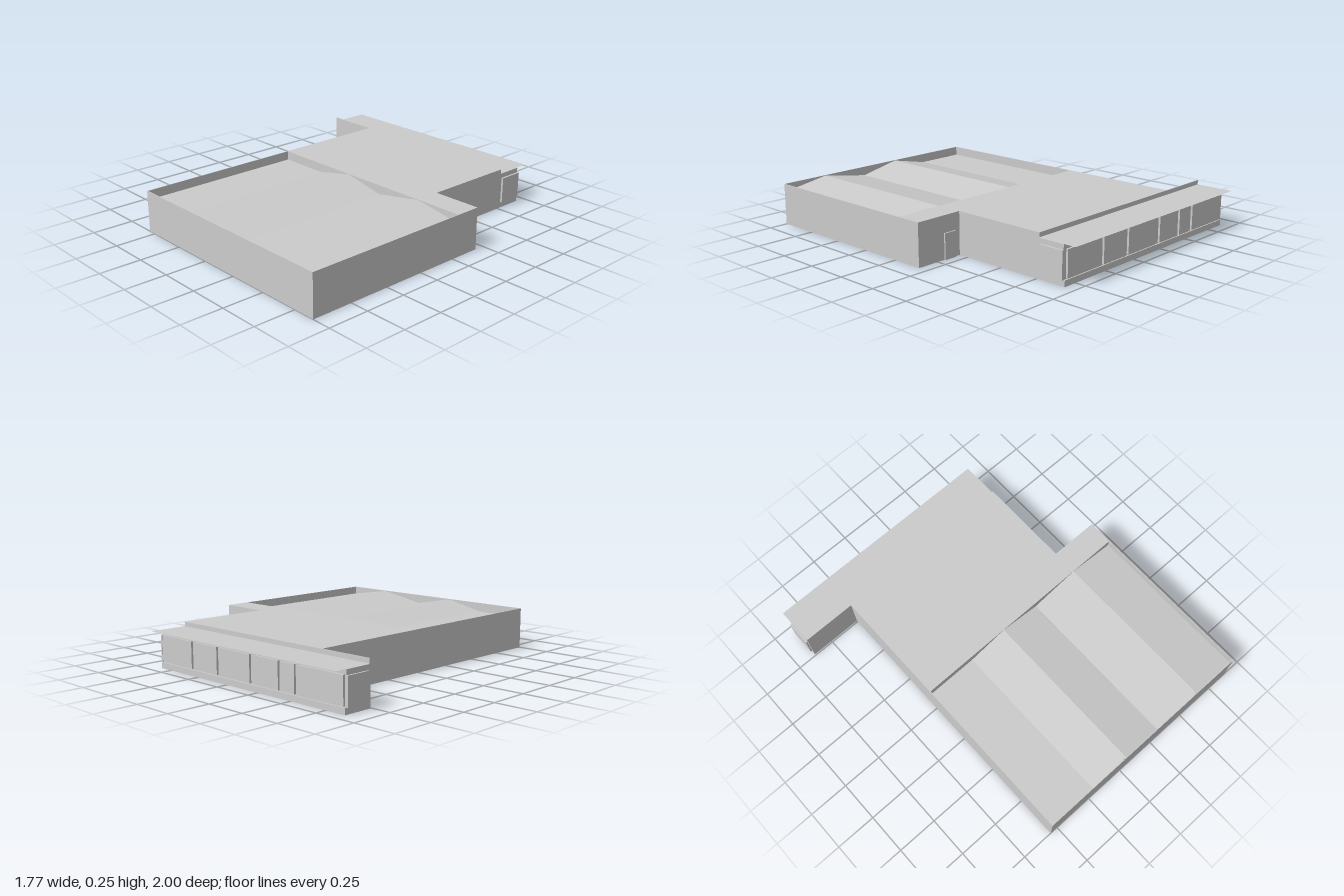
import * as THREE from 'three';

export function createModel() {
  const group = new THREE.Group();
  const mat = new THREE.MeshStandardMaterial({ color: 0xcccccc, flatShading: true, side: THREE.DoubleSide });
  const add = (name, geo) => {
    const mesh = new THREE.Mesh(geo, mat);
    mesh.name = name;
    group.add(mesh);
    return mesh;
  };
  // Box given by its limits on each axis
  const box = (name, x0, x1, y0, y1, z0, z1) =>
    add(name, new THREE.BoxGeometry(x1 - x0, y1 - y0, z1 - z0))
      .position.set((x0 + x1) / 2, (y0 + y1) / 2, (z0 + z1) / 2);
  const extrude = (points, depth) => new THREE.ExtrudeGeometry(
    new THREE.Shape(points.map(([x, y]) => new THREE.Vector2(x, y))), { depth, bevelEnabled: false });

  const H = 0.25, L = -0.55, R = 0.885, M = 0.585, mid = -0.035;

  // Flat-roofed middle block with a notch in its back corner
  const block = extrude([[L, -mid], [R, -mid], [R, 0.19], [M, 0.19], [M, 0.76], [L, 0.76]], H);
  add('middleBlock', block.rotateX(-Math.PI / 2));

  // Front hall with a folded roof sunk behind thin parapet walls
  const roof = [[R, 0.2], [M, 0.248], [0.28, 0.195], [0.02, 0.248], [-0.23, 0.195], [L, 0.195]];
  const hall = add('hallWithFoldedRoof', extrude([[L, 0], [R, 0], ...roof], 0.995 - mid));
  hall.position.z = mid;
  const t = 0.004;
  box('frontParapet', L, R, 0, H, 1 - t, 1);
  box('leftParapet', R - t, R, 0, H, mid, 1);
  box('rightParapet', L, L + t, 0, H, mid, 1);

  // Door in the notch wall
  box('notchDoor', 0.62, 0.7, 0, 0.15, -0.198, -0.19);

  // Back wing: tall front wall, glazed core, plinth and thin canopy
  box('wingFrontWall', -0.88, M, 0, H, -0.765, -0.758);
  box('wingCore', -0.88, M, 0.03, 0.222, -0.925, -0.765);
  box('wingPlinth', -0.88, M, 0, 0.035, -0.935, -0.765);
  const canopy = add('canopy', new THREE.PlaneGeometry(M + 0.88, 0.235).rotateX(-Math.PI / 2));
  canopy.position.set((M - 0.88) / 2, 0.224, -0.8825);

  // Window panels along the back and at both ends of the wing
  const windows = [[0.3, 0.565], [0.08, 0.27], [-0.19, 0.055], [-0.41, -0.235], [-0.53, -0.43], [-0.87, -0.56]];
  for (const [x0, x1] of windows) box('backWindow', x0, x1, 0.04, 0.195, -0.937, -0.925);
  box('leftEndWindow', M, 0.597, 0.035, 0.193, -0.927, -0.775);
  box('rightEndWindow', -0.89, -0.88, 0.035, 0.193, -0.927, -0.775);

  return group;
}
